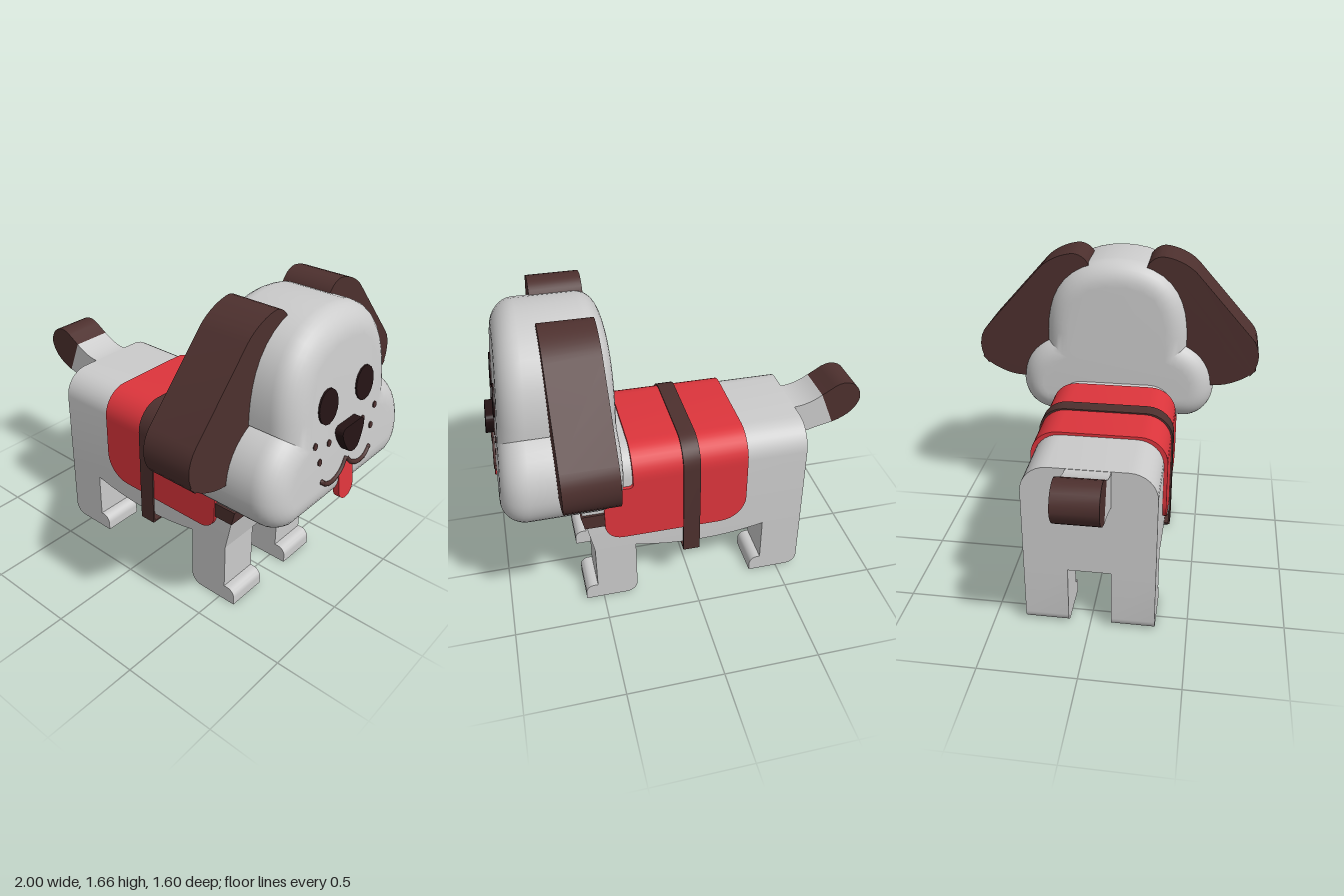
import * as THREE from 'three';
import { toCreasedNormals } from 'three/addons/utils/BufferGeometryUtils.js';

const mat = (color) => new THREE.MeshStandardMaterial({ color });
const GREY = mat(0xcccccc), BROWN = mat(0x4d302e), DARK = mat(0x241314), RED = mat(0xdd353c);

export function createModel() {
  const dog = new THREE.Group();
  const add = (name, geo, material, crease = 0.6) => {
    const mesh = new THREE.Mesh(toCreasedNormals(geo, crease), material);
    mesh.name = name;
    dog.add(mesh);
    return mesh;
  };
  const poly = (pts) => new THREE.Shape(pts.map(([x, y]) => new THREE.Vector2(x, y)));

  // polygon with rounded corners; each point is [x, y, radius]
  const rounded = (pts) => {
    const s = new THREE.Shape();
    pts.forEach(([x, y, r = 0], i) => {
      const p = new THREE.Vector2(x, y);
      const toward = (j) => {
        const q = pts[(j + pts.length) % pts.length];
        return new THREE.Vector2(q[0], q[1]).sub(p).setLength(r).add(p);
      };
      const a = r ? toward(i - 1) : p;
      if (i) s.lineTo(a.x, a.y); else s.moveTo(a.x, a.y);
      if (r) {
        const b = toward(i + 1), k = 0.55;
        s.bezierCurveTo(a.x + (x - a.x) * k, a.y + (y - a.y) * k,
          b.x + (x - b.x) * k, b.y + (y - b.y) * k, b.x, b.y);
      }
    });
    s.closePath();
    return s;
  };

  // side profile (x, y) extruded between z0 and z1
  const alongZ = (shape, z0, z1) =>
    new THREE.ExtrudeGeometry(shape, { depth: z1 - z0, bevelEnabled: false, curveSegments: 8 }).translate(0, 0, z0);
  // front profile (z, y) extruded between x0 and x1
  const alongX = (shape, x0, x1) =>
    new THREE.ExtrudeGeometry(shape, { depth: x1 - x0, bevelEnabled: false, curveSegments: 8 })
      .rotateY(Math.PI / 2).translate(x0, 0, 0);
  const moveX = (geo, rule) => {
    const p = geo.attributes.position;
    for (let i = 0; i < p.count; i++) p.setX(i, rule(p.getX(i), p.getY(i)));
    return geo;
  };

  // trunk: rounded back, chest sloping forward
  const arch = (w, top, bottom, r) => rounded([[-w, bottom], [w, bottom], [w, top, r], [-w, top, r]]);
  add('body', moveX(alongX(arch(0.335, 0.935, 0.345, 0.14), -0.62, 0.53),
    (x, y) => (x > 0 ? 0.53 + 0.2 * (y - 0.345) : x)), GREY);
  const belly = new THREE.Shape();
  belly.moveTo(-0.4, 0.36);
  belly.lineTo(-0.4, 0.345);
  belly.quadraticCurveTo(-0.045, 0.265, 0.31, 0.345);
  belly.lineTo(0.31, 0.36);
  add('belly', alongZ(belly, -0.335, 0.335), GREY);

  // four legs with little toes
  for (const [label, x, foot] of [['back', -0.62, 0.28], ['front', 0.31, 0.285]]) {
    for (const side of [1, -1]) {
      const leg = rounded([[x, 0, 0.06], [x + foot, 0], [x + foot, 0.09, 0.045], [x + 0.22, 0.09],
        [x + 0.22, 0.345], [x, 0.345]]);
      const name = label + (side > 0 ? 'LeftLeg' : 'RightLeg');
      add(name, alongZ(leg, side > 0 ? 0.11 : -0.335, side > 0 ? 0.335 : -0.11), GREY);
    }
  }

  // tail with coloured tip
  const tail = new THREE.Shape();
  tail.moveTo(-0.55, 0.933);
  tail.lineTo(-0.62, 0.933);
  tail.quadraticCurveTo(-0.7, 0.935, -0.775, 0.985);
  tail.lineTo(-0.85, 0.8);
  tail.quadraticCurveTo(-0.74, 0.78, -0.62, 0.738);
  tail.lineTo(-0.55, 0.738);
  add('tail', alongZ(tail, -0.11, 0.11), GREY);
  const tip = new THREE.Shape();
  tip.moveTo(-0.775, 0.985);
  tip.quadraticCurveTo(-0.81, 1.005, -0.85, 1.03);
  tip.bezierCurveTo(-0.91, 1.065, -1, 1.03, -1, 0.935);
  tip.bezierCurveTo(-0.99, 0.88, -0.95, 0.83, -0.85, 0.8);
  add('tailTip', alongZ(tip, -0.11, 0.11), BROWN);

  // vest: arched cover over the back and a panel on each flank
  const cover = arch(0.355, 0.95, 0.78, 0.145);
  cover.holes.push(arch(0.33, 0.93, 0.781, 0.14));
  add('vestBack', alongX(cover, -0.29, 0.315), RED);
  const panel = rounded([[-0.29, 0.8], [-0.29, 0.43, 0.14], [0.47, 0.43, 0.09],
    [0.47, 0.75, 0.09], [0.315, 0.75, 0.02], [0.315, 0.8]]);
  add('vestLeftPanel', alongZ(panel, 0.33, 0.355), RED);
  add('vestRightPanel', alongZ(panel, -0.355, -0.33), RED);

  // girth strap loop and chest strap
  const loop = arch(0.364, 0.957, 0.272, 0.147);
  loop.holes.push(arch(0.354, 0.945, 0.28, 0.143));
  add('girthStrap', alongX(loop, -0.035, 0.055), BROWN);
  add('chestStrap', alongZ(poly([[0.46, 0.52], [0.575, 0.52], [0.592, 0.6], [0.46, 0.6]]), -0.348, 0.348), BROWN);

  // head: domed skull and wide cheeks in one pillowy block, face leaning back
  const R = 0.13, BACK = 0.375, FRONT = 0.975;
  const lean = (y) => -0.1 * (y - 0.8);
  const skull = new THREE.Shape();
  skull.moveTo(-0.39, 0.845);
  skull.lineTo(0.39, 0.845);
  skull.quadraticCurveTo(0.425, 0.855, 0.427, 0.91);
  skull.bezierCurveTo(0.43, 1.0, 0.38, 1.05, 0.28, 1.08);
  skull.lineTo(0.28, 1.22);
  skull.bezierCurveTo(0.27, 1.42, 0.2, 1.505, 0, 1.51);
  skull.bezierCurveTo(-0.2, 1.505, -0.27, 1.42, -0.28, 1.22);
  skull.lineTo(-0.28, 1.08);
  skull.bezierCurveTo(-0.38, 1.05, -0.43, 1.0, -0.427, 0.91);
  skull.quadraticCurveTo(-0.425, 0.855, -0.39, 0.845);
  const headGeo = new THREE.ExtrudeGeometry(skull, {
    depth: FRONT - BACK - 2 * R, bevelThickness: R, bevelSize: R, bevelSegments: 8, curveSegments: 10,
  }).rotateY(Math.PI / 2).translate(BACK + R, 0, 0);
  add('head', moveX(headGeo, (x, y) => x + lean(y) * (x - BACK) / (FRONT - BACK)), GREY);

  // floppy ears
  for (const s of [1, -1]) {
    const ear = rounded([[0.15, 1.56, 0.04], [0.17, 1.665, 0.08], [0.36, 1.665, 0.12], [0.86, 1.11, 0.15],
      [0.7, 0.93, 0.14], [0.48, 0.93, 0.03]].map(([z, y, r]) => [-s * z, y, r]));
    add(s > 0 ? 'leftEar' : 'rightEar', alongX(ear, 0.44, 0.7), BROWN);
  }

  // face features lie on the leaning front of the head
  const onFace = (name, shape, depth, material) =>
    add(name, moveX(alongX(shape, FRONT - 0.03, FRONT + depth), (x, y) => x + lean(y)), material);
  const oval = (z, y, rz, ry) => new THREE.Shape().absellipse(z, y, rz, ry, 0, Math.PI * 2);
  for (const s of [1, -1]) {
    const side = s > 0 ? 'left' : 'right';
    onFace(side + 'Eye', oval(-s * 0.15, 1.245, 0.075, 0.085), 0.008, DARK);
    for (const [z, y] of [[0.25, 1.09], [0.142, 1.06], [0.217, 0.995]])
      onFace(side + 'WhiskerDot', oval(-s * z, y, 0.015, 0.017), 0.005, BROWN);
  }
  const nose = rounded([[-0.1, 1.115, 0.04], [0.1, 1.115, 0.04], [0.07, 1.02, 0.05], [0.025, 0.975, 0.02],
    [-0.025, 0.975, 0.02], [-0.07, 1.02, 0.05]]);
  onFace('nose', nose, 0.042, DARK);
  const tongue = rounded([[0, 0.925], [-0.06, 0.865], [-0.06, 0.705, 0.058], [0.06, 0.705, 0.058], [0.06, 0.865]]);
  onFace('tongue', tongue, 0.003, RED);
  for (const s of [1, -1]) {
    const path = [[0.2, 0.885], [0.165, 0.858], [0.11, 0.85], [0.045, 0.875], [0, 0.925]]
      .map(([z, y]) => new THREE.Vector3(FRONT + lean(y), y, s * z));
    const curve = new THREE.CatmullRomCurve3(path);
    add(s > 0 ? 'leftMouth' : 'rightMouth', new THREE.TubeGeometry(curve, 20, 0.012, 8), BROWN, 1);
    const end = add('mouthCorner', new THREE.SphereGeometry(0.013, 10, 8), BROWN, 1);
    end.position.copy(path[0]);
  }
  return dog;
}
